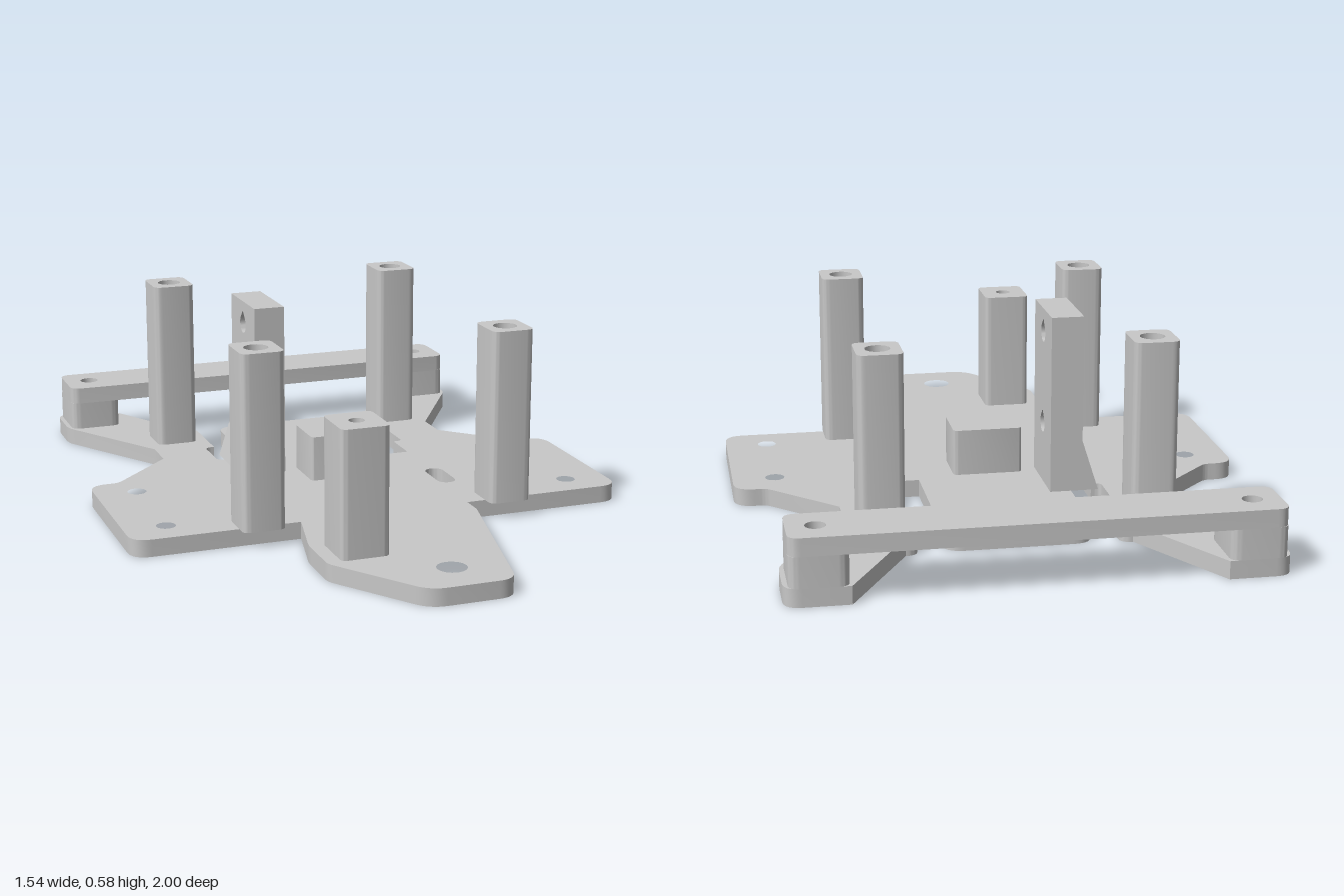
import * as THREE from 'three';
import { toCreasedNormals } from 'three/addons/utils/BufferGeometryUtils.js';

const T = 0.052; // base plate thickness

// Closed outline through [x, z, cornerRadius] points
function outline(points, holes = []) {
  const shape = new THREE.Shape();
  const n = points.length;
  points.forEach(([x, z, r = 0], i) => {
    const p = new THREE.Vector2(x, z);
    const toward = (q) => {
      const d = new THREE.Vector2(q[0], q[1]).sub(p);
      return p.clone().addScaledVector(d.normalize(), r);
    };
    const a = toward(points[(i + n - 1) % n]);
    const b = toward(points[(i + 1) % n]);
    if (i === 0) shape.moveTo(a.x, a.y);
    else shape.lineTo(a.x, a.y);
    if (r > 0) shape.quadraticCurveTo(x, z, b.x, b.y);
  });
  shape.closePath();
  shape.holes.push(...holes);
  return shape;
}

const rect = (cx, cz, w, d, r, holes) => outline([
  [cx - w / 2, cz - d / 2, r], [cx + w / 2, cz - d / 2, r],
  [cx + w / 2, cz + d / 2, r], [cx - w / 2, cz + d / 2, r],
], holes);

function round(cx, cz, r) {
  const path = new THREE.Path();
  path.absarc(cx, cz, r, 0, Math.PI * 2, true);
  return path;
}

function slot(cx, z0, z1, r) {
  const path = new THREE.Path();
  path.absarc(cx, z1 - r, r, 0, Math.PI, false);
  path.absarc(cx, z0 + r, r, Math.PI, Math.PI * 2, false);
  path.closePath();
  return path;
}

// Round hole with a pointed top
function teardrop(cx, cy, r) {
  const path = new THREE.Path();
  path.absarc(cx, cy, r, Math.PI * 0.75, Math.PI * 2.25, false);
  path.lineTo(cx, cy + r * 1.42);
  path.closePath();
  return path;
}

const extrude = (shape, depth) =>
  new THREE.ExtrudeGeometry(shape, { depth, bevelEnabled: false, curveSegments: 8 });

export function createModel() {
  const group = new THREE.Group();
  const grey = new THREE.MeshStandardMaterial({ color: 0xc8c8c8 });
  grey.name = 'light grey plastic';

  const add = (name, geometry) => {
    const mesh = new THREE.Mesh(toCreasedNormals(geometry, 0.6), grey);
    mesh.name = name;
    group.add(mesh);
  };
  // Plan shape (x, z) raised from y0 to y1
  const slab = (name, shape, y0, y1) =>
    add(name, extrude(shape, y1 - y0).rotateX(Math.PI / 2).translate(0, y1, 0));

  // Base plate: one side of the outline, mirrored, plus an uneven nose
  const side = [
    [0.264, 0.361],
    [0.77, 0.361, 0.06], [0.77, -0.182, 0.06], [0.675, -0.182, 0.02],
    [0.478, -0.38], [0.478, -0.49],
    [0.69, -0.83, 0.03], [0.69, -1, 0.05], [0.51, -1],
    [0.325, -0.675], [0.288, -0.675, 0.035],
    [0.288, -0.45], [0.318, -0.45, 0.02], [0.318, -0.305, 0.02], [0.288, -0.305],
    [0.288, -0.182], [0.215, -0.182], [0.215, -0.663, 0.06],
  ];
  const mirrored = side.map(([x, z, r]) => [-x, z, r]).reverse();
  const nose = [
    [-0.31, 0.56, 0.02], [-0.31, 0.72, 0.02], [-0.12, 1, 0.05],
    [0.13, 1, 0.05], [0.264, 0.43],
  ];
  const plateHoles = [round(0, 0.86, 0.044)];
  for (const s of [-1, 1]) {
    plateHoles.push(round(s * 0.642, -0.08, 0.029), round(s * 0.642, 0.257, 0.029));
    plateHoles.push(slot(s * 0.29, -0.012 + 0.025, 0.163, 0.029));
  }
  slab('basePlate', outline([...side, ...mirrored, ...nose], plateHoles), 0, T);

  // Four tall standoffs with screw holes; the front pair overhangs the plate
  for (const x of [-0.387, 0.387]) {
    for (const z of [-0.6, 0.334]) {
      slab('standoff', rect(x, z, 0.13, 0.142, 0.025, [round(x, z, 0.036)]), T, 0.58);
    }
  }

  // Shorter front post
  slab('frontPost', rect(-0.195, 0.637, 0.144, 0.158, 0.02, [round(-0.195, 0.637, 0.023)]), T, 0.428);

  // Low block in the middle
  slab('centreBlock', rect(-0.001, -0.075, 0.21, 0.16, 0.015), T, 0.192);

  // Raised rear bar on two feet
  const barHoles = [-0.595, 0.595].map((x) => round(x, -0.907, 0.029));
  slab('rearBar', rect(0, -0.905, 1.352, 0.19, 0.035, barHoles), 0.14, 0.192);
  for (const x of [-0.595, 0.595]) {
    slab('rearBarFoot', rect(x, -0.905, 0.162, 0.19, 0.03, [round(x, -0.907, 0.029)]), T, 0.14);
  }

  // Upright bracket with two teardrop holes, extruded across x
  const upright = rect(0.238, (T + 0.583) / 2, 0.24, 0.583 - T, 0,
    [teardrop(0.238, 0.232, 0.029), teardrop(0.238, 0.511, 0.029)]);
  add('uprightBracket', extrude(upright, 0.096).rotateY(Math.PI / 2).translate(-0.248, 0, 0));

  // Sloped gusset beside the bracket
  const gusset = outline([[-0.297, T], [-0.248, T], [-0.248, 0.205]]);
  add('bracketGusset', extrude(gusset, 0.24).translate(0, 0, -0.358));

  return group;
}
